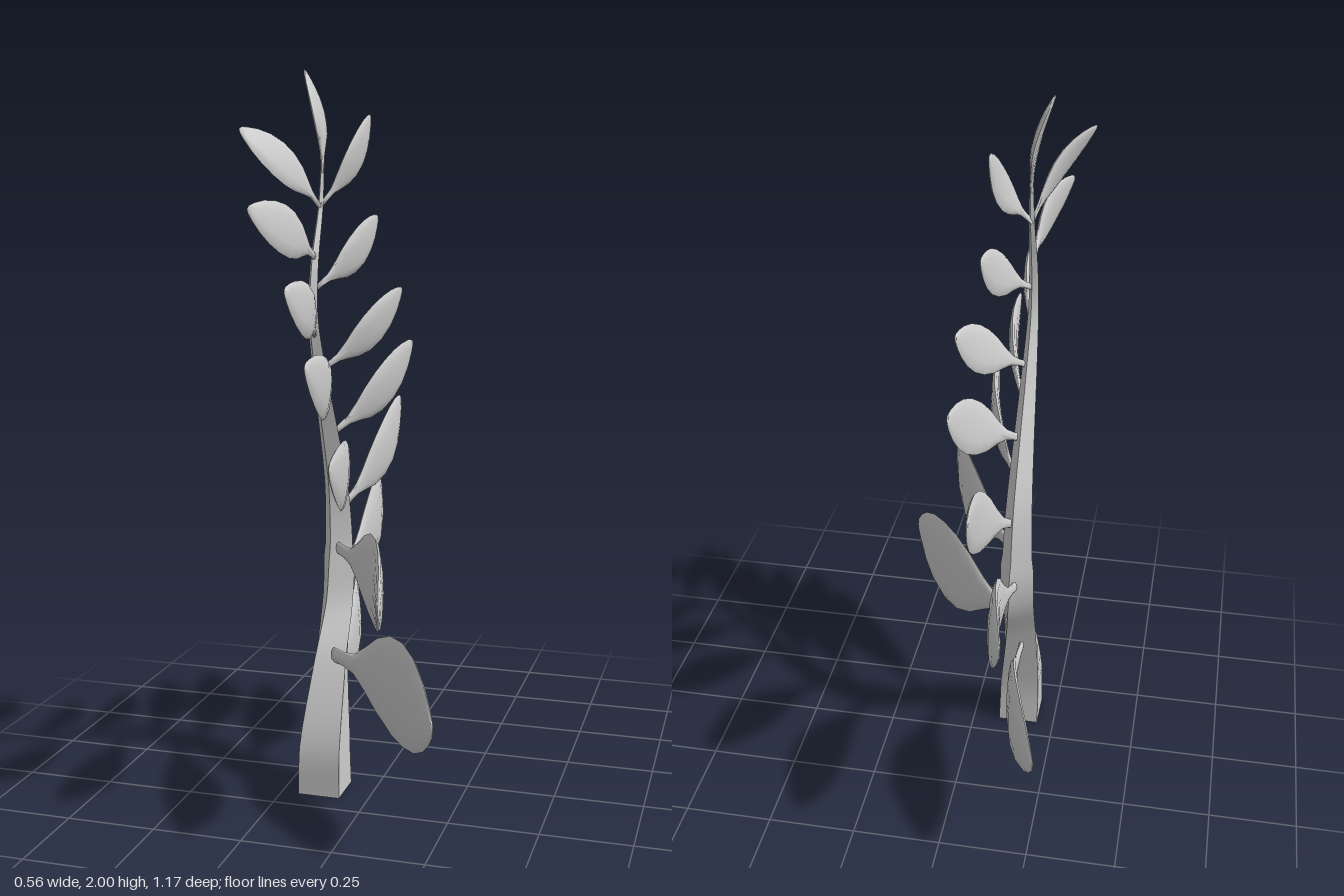
import * as THREE from 'three';
import { toCreasedNormals } from 'three/addons/utils/BufferGeometryUtils.js';

const V = (x, y, z) => new THREE.Vector3(x, y, z);

// Skin a list of closed rings (counter-clockwise about the direction of travel) and cap both ends.
function loft(rings, crease) {
  const n = rings[0].length, pos = [], index = [];
  const centre = (r) => r.reduce((s, p) => s.add(p), V(0, 0, 0)).divideScalar(n);
  rings.forEach((r) => r.forEach((p) => pos.push(p.x, p.y, p.z)));
  for (let i = 0; i < rings.length - 1; i++) {
    for (let j = 0; j < n; j++) {
      const a = i * n + j, b = i * n + (j + 1) % n;
      index.push(a, b, b + n, a, b + n, a + n);
    }
  }
  const last = (rings.length - 1) * n, c0 = rings.length * n;
  for (const r of [rings[0], rings[rings.length - 1]]) pos.push(...centre(r).toArray());
  for (let j = 0; j < n; j++) {
    const k = (j + 1) % n;
    index.push(c0, k, j, c0 + 1, last + j, last + k);
  }
  const geo = new THREE.BufferGeometry();
  geo.setAttribute('position', new THREE.Float32BufferAttribute(pos, 3));
  geo.setIndex(index);
  return toCreasedNormals(geo, crease);
}

// Square, tapering stem that sways in z and twists as it rises: [y, z, half width, twist in degrees]
function stemGeometry() {
  const keys = [
    [0, 0.12, 0.06, 0], [0.14, 0.118, 0.058, 2], [0.38, 0.052, 0.044, 14],
    [0.53, -0.012, 0.038, 25], [0.68, -0.025, 0.033, 30], [0.85, -0.006, 0.028, 30],
    [1.02, 0.06, 0.022, 30], [1.2, 0.14, 0.016, 30], [1.36, 0.192, 0.011, 30],
    [1.5, 0.175, 0.009, 30], [1.64, 0.122, 0.006, 30], [1.76, 0.1, 0.004, 30],
  ];
  const path = new THREE.CatmullRomCurve3(keys.map((k) => V(-0.14, k[0], k[1])));
  const shape = new THREE.CatmullRomCurve3(keys.map((k) => V(k[2], k[3], k[0])));
  const rings = [];
  for (let i = 0; i <= 44; i++) {
    const c = path.getPoint(i / 44), s = shape.getPoint(i / 44), ring = [];
    for (let k = 0; k < 4; k++) {
      const a = Math.PI / 4 + k * Math.PI / 2 + THREE.MathUtils.degToRad(s.y);
      ring.push(V(c.x + Math.sin(a) * s.x * Math.SQRT2, c.y, c.z + Math.cos(a) * s.x * Math.SQRT2));
    }
    rings.push(ring);
  }
  return loft(rings, 0.7);
}

// Leaf outline: [distance along leaf, relative half width, relative half thickness]
const OUTLINE = [
  [0, 0.15, 0.45], [0.08, 0.15, 0.45], [0.16, 0.21, 0.5], [0.25, 0.46, 0.65], [0.35, 0.76, 0.85],
  [0.47, 0.96, 1], [0.6, 1, 1], [0.73, 0.89, 0.9], [0.85, 0.65, 0.7], [0.94, 0.37, 0.45],
  [0.985, 0.17, 0.25], [1, 0.03, 0.05],
];

function leafGeometry(base, tip, width) {
  const dir = tip.clone().sub(base), length = dir.length();
  dir.normalize();
  const normal = V(1, 0, 0).addScaledVector(dir, -dir.x).normalize();
  const side = dir.clone().cross(normal);
  const rings = OUTLINE.map(([t, w, h]) => {
    // The blade arches outward along its normal
    const c = base.clone().lerp(tip, t).addScaledVector(normal, Math.sin(Math.PI * t) * 0.065 * length);
    return Array.from({ length: 12 }, (_, k) => {
      const a = (k / 12) * Math.PI * 2;
      return c.clone()
        .addScaledVector(normal, Math.cos(a) * h * (0.006 + width * 0.045))
        .addScaledVector(side, Math.sin(a) * w * width / 2);
    });
  });
  return loft(rings, 1.6);
}

// Leaves as [base x, y, z, tip x, y, z, width]
const FRONT_LEAVES = [
  [-0.12, 0.39, 0.09, 0.28, 0.38, 0.55, 0.29],
  [-0.13, 0.68, 0.01, 0.15, 0.68, 0.585, 0.24],
  [-0.13, 0.88, 0.05, 0.01, 1.02, 0.53, 0.185],
  [-0.13, 1.09, 0.13, -0.06, 1.265, 0.5, 0.155],
  [-0.135, 1.31, 0.195, -0.11, 1.45, 0.5, 0.135],
  [-0.14, 1.51, 0.17, -0.21, 1.645, 0.48, 0.13],
  [-0.14, 1.64, 0.12, -0.28, 1.84, 0.345, 0.115],
];
const BACK_LEAVES = [
  [-0.15, 0.325, 0.02, -0.27, 0.39, -0.57, 0.235],
  [-0.14, 0.6, -0.055, -0.18, 0.765, -0.585, 0.215],
  [-0.13, 0.79, -0.02, -0.07, 1.05, -0.44, 0.17],
  [-0.13, 1.02, 0.07, 0.015, 1.245, -0.26, 0.15],
  [-0.13, 1.21, 0.15, 0.02, 1.41, -0.12, 0.13],
  [-0.135, 1.43, 0.185, -0.04, 1.61, -0.085, 0.12],
  [-0.14, 1.645, 0.12, -0.06, 1.885, -0.08, 0.11],
];
const TOP_LEAF = [-0.14, 1.73, 0.105, -0.2, 2, 0.065, 0.105];

export function createModel() {
  const material = new THREE.MeshStandardMaterial({ color: 0xcccccc });
  const model = new THREE.Group();
  model.name = 'leafyBranch';
  const add = (name, geometry) => {
    const mesh = new THREE.Mesh(geometry, material);
    mesh.name = name;
    model.add(mesh);
  };
  const addLeaf = (name, [bx, by, bz, tx, ty, tz, w]) =>
    add(name, leafGeometry(V(bx, by, bz), V(tx, ty, tz), w));

  add('stem', stemGeometry());
  FRONT_LEAVES.forEach((l, i) => addLeaf(`frontLeaf${i + 1}`, l));
  BACK_LEAVES.forEach((l, i) => addLeaf(`backLeaf${i + 1}`, l));
  addLeaf('topLeaf', TOP_LEAF);
  return model;
}
